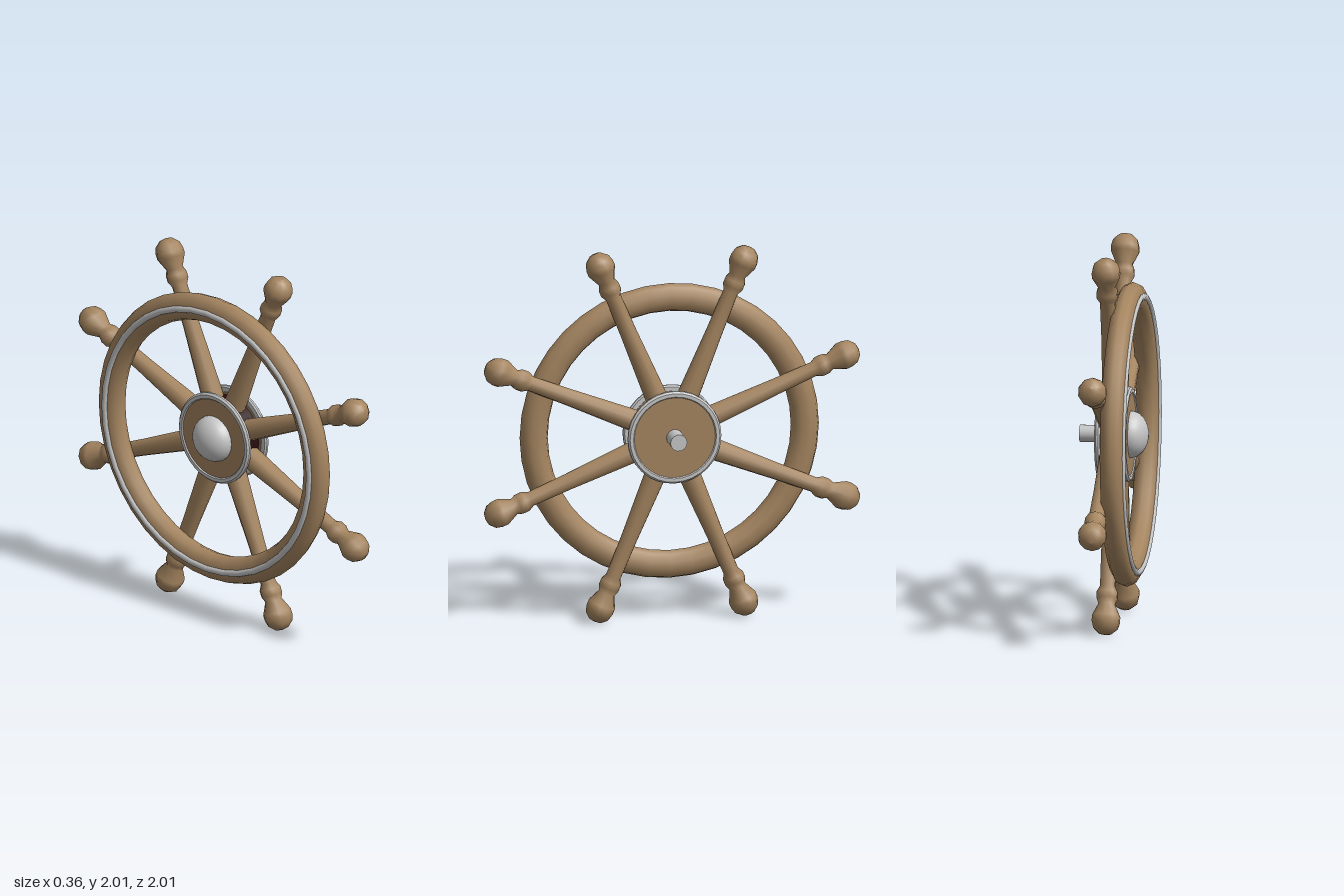
import * as THREE from 'three';
import { toCreasedNormals } from 'three/addons/utils/BufferGeometryUtils.js';

const wood = new THREE.MeshStandardMaterial({ color: 0xa58560 });
wood.name = 'wood';
const metal = new THREE.MeshStandardMaterial({ color: 0xc6c6c6 });
metal.name = 'metal';
const dark = new THREE.MeshStandardMaterial({ color: 0x2a0c0e });
dark.name = 'dark wood';

const lathe = (pts, segs) =>
  new THREE.LatheGeometry(pts.map(([r, y]) => new THREE.Vector2(r, y)), segs);

function add(parent, name, geometry, material, y = 0) {
  const mesh = new THREE.Mesh(geometry, material);
  mesh.name = name;
  mesh.position.y = y;
  parent.add(mesh);
  return mesh;
}

// Torus around the y axis, squashed along it
const ring = (radius, tube, squash, sides) =>
  new THREE.TorusGeometry(radius, tube, sides, 40).rotateX(Math.PI / 2).scale(1, squash, 1);

export function createModel() {
  const model = new THREE.Group();
  model.name = 'shipWheel';

  // The wheel is built around y, then tipped so its axle points to +x
  const wheel = new THREE.Group();
  wheel.name = 'wheel';
  wheel.rotation.z = -Math.PI / 2;
  wheel.position.y = 1;
  model.add(wheel);

  // Rim with a thin metal band on its back
  add(wheel, 'rim', ring(0.725, 0.075, 0.83, 10), wood, -0.083);
  add(wheel, 'rimBand', ring(0.725, 0.02, 1, 8), metal, -0.136);

  // Eight turned spokes with handles
  const spokeGeo = lathe([
    [0.058, 0.1], [0.058, 0.25], [0.045, 0.6], [0.041, 0.82], [0.057, 0.85],
    [0.057, 0.885], [0.045, 0.915], [0.076, 0.98], [0.076, 1.01],
    [0.066, 1.045], [0.035, 1.073], [0, 1.08],
  ], 10);
  for (let i = 0; i < 8; i++) {
    const arm = new THREE.Group();
    arm.name = 'spokeArm';
    arm.rotation.y = Math.PI / 8 + (i * Math.PI) / 4;
    arm.position.y = -0.008;
    add(arm, 'spoke', spokeGeo, wood).rotation.z = -Math.PI / 2;
    wheel.add(arm);
  }

  // Hub core
  add(wheel, 'hubCore', new THREE.CylinderGeometry(0.205, 0.205, 0.12, 32), dark, -0.01);

  // Metal ring and wooden disc on both faces of the hub
  const hubRing = toCreasedNormals(lathe([
    [0.215, 0], [0.242, 0], [0.25, 0.008], [0.25, 0.02], [0.24, 0.03],
    [0.222, 0.03], [0.215, 0.022], [0.215, 0],
  ], 32), 0.6);
  const hubDisc = new THREE.CylinderGeometry(0.218, 0.218, 0.028, 32);
  for (const side of [1, -1]) {
    const cap = new THREE.Group();
    cap.name = side > 0 ? 'frontCap' : 'backCap';
    cap.position.y = side > 0 ? 0.044 : -0.064;
    if (side < 0) cap.rotation.x = Math.PI;
    add(cap, 'hubRing', hubRing, metal);
    add(cap, 'hubDisc', hubDisc, wood, 0.01);
    wheel.add(cap);
  }

  // Axle and the domed cover behind the hub
  add(wheel, 'axle', new THREE.CylinderGeometry(0.045, 0.045, 0.14, 14), metal, 0.11);
  const dome = new THREE.SphereGeometry(0.125, 24, 8, 0, Math.PI * 2, 0, Math.PI / 2)
    .scale(1, 0.76, 1).rotateX(Math.PI);
  add(wheel, 'dome', dome, metal, -0.088);

  return model;
}
